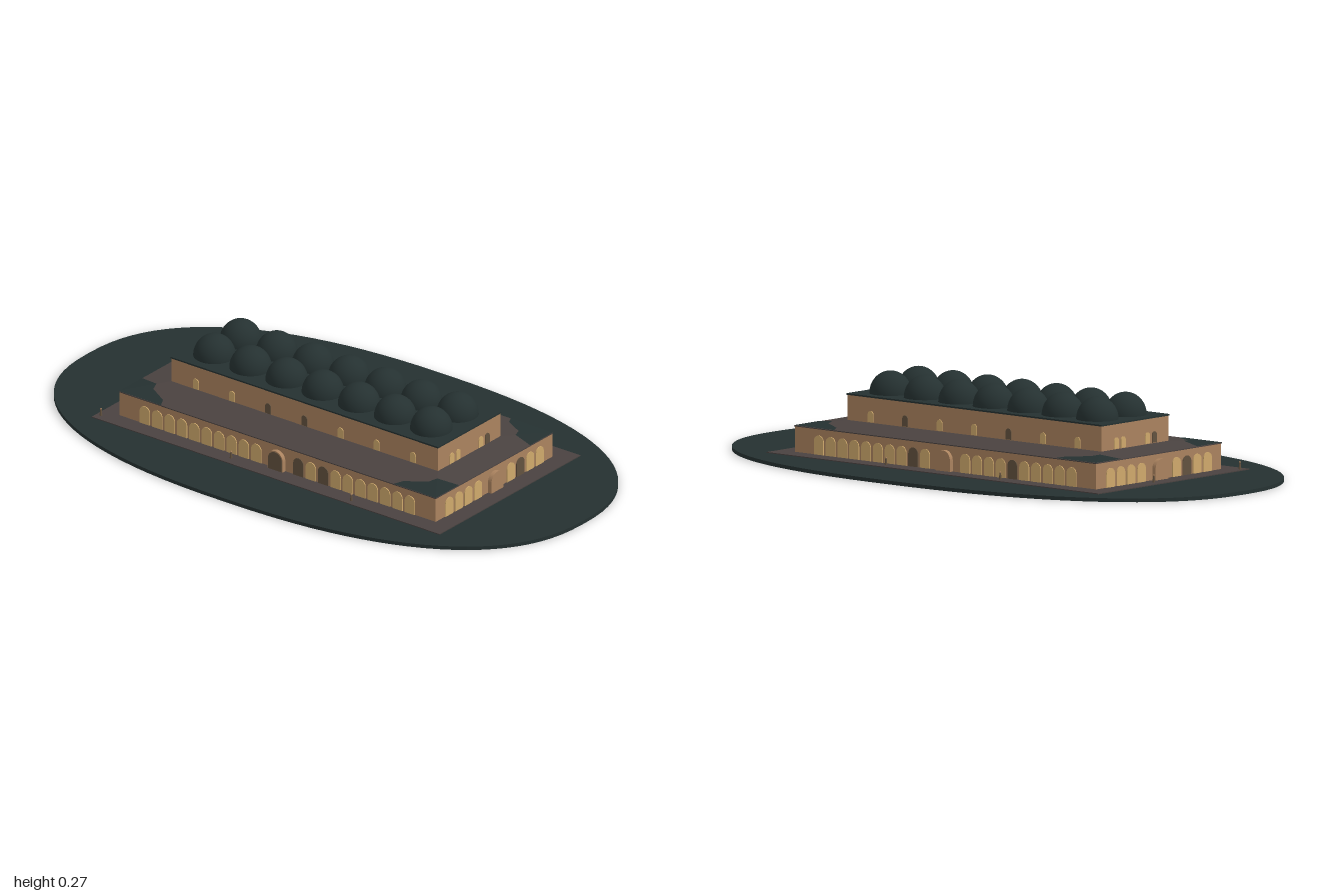
import * as THREE from 'three';

const mat = (name, color) => {
  const m = new THREE.MeshStandardMaterial({ color });
  m.name = name;
  return m;
};

export function createModel() {
  const root = new THREE.Group();
  const dark = mat('dark slate', 0x253131);
  const stone = mat('brown stone', 0x4a4240);
  const wall = mat('sandstone', 0xab835f);
  const glow = mat('lit window', 0xd0aa6c);
  const shade = mat('dark window', 0x63523f);

  const add = (name, geo, material, x = 0, y = 0, z = 0, parent = root) => {
    const m = new THREE.Mesh(geo, material);
    m.name = name;
    m.position.set(x, y, z);
    parent.add(m);
    return m;
  };
  const box = (name, w, y0, y1, d, material) =>
    add(name, new THREE.BoxGeometry(w, y1 - y0, d), material, 0, (y0 + y1) / 2, 0);

  // Round-topped arch plate standing on y = 0, facing +z
  const arch = (w, h, depth) => {
    const r = w / 2, s = new THREE.Shape();
    s.moveTo(-r, 0).lineTo(r, 0).lineTo(r, h - r);
    s.absarc(0, h - r, r, 0, Math.PI, false);
    s.lineTo(-r, 0);
    return new THREE.ExtrudeGeometry(s, { depth, bevelEnabled: false, curveSegments: 10 });
  };

  // Rounded oblong ground slab
  const outline = [];
  for (let i = 0; i < 96; i++) {
    const a = (i / 96) * Math.PI * 2, c = Math.cos(a), s = Math.sin(a), e = 2 / 2.4;
    outline.push(new THREE.Vector2(Math.sign(c) * Math.abs(c) ** e, 0.575 * Math.sign(s) * Math.abs(s) ** e));
  }
  const slab = new THREE.ExtrudeGeometry(new THREE.Shape(outline), { depth: 0.012, bevelEnabled: false });
  slab.rotateX(-Math.PI / 2);
  add('groundSlab', slab, dark);

  // Terrace and the two storeys
  box('terrace', 1.404, 0.011, 0.015, 0.732, stone);
  box('lowerWalls', 1.276, 0.013, 0.098, 0.606, wall);
  box('eaves', 1.28, 0.097, 0.1, 0.61, stone);
  box('upperWalls', 1.076, 0.1, 0.194, 0.326, wall);
  box('upperRoof', 1.08, 0.193, 0.198, 0.33, dark);

  // Sloping skirt roof between the storeys
  const roofY = (x, z) =>
    0.1 + 0.012 * Math.max(0, Math.min(1, (0.64 - Math.abs(x)) / 0.1, (0.305 - Math.abs(z)) / 0.14));
  const roof = new THREE.BoxGeometry(1.28, 0.012, 0.61).toNonIndexed();
  const rp = roof.attributes.position;
  for (let i = 0; i < rp.count; i++) {
    if (rp.getY(i) > 0) rp.setXYZ(i, Math.sign(rp.getX(i)) * 0.54, rp.getY(i), Math.sign(rp.getZ(i)) * 0.165);
  }
  roof.computeVertexNormals();
  add('skirtRoof', roof, stone, 0, 0.106, 0);

  // Dark ragged patches on the roof corners, fanned from each corner
  const edge = [[0.47, 0.305], [0.485, 0.275], [0.52, 0.255], [0.555, 0.235], [0.567, 0.203], [0.6, 0.195], [0.64, 0.185]];
  for (const sx of [-1, 1]) for (const sz of [-1, 1]) {
    const pts = [];
    const put = ([x, z]) => pts.push(sx * x, roofY(x, z) + 0.001, sz * z);
    for (let i = 0; i < edge.length - 1; i++) {
      const pair = sx * sz > 0 ? [edge[i + 1], edge[i]] : [edge[i], edge[i + 1]];
      [[0.64, 0.305], ...pair].forEach(put);
    }
    const g = new THREE.BufferGeometry();
    g.setAttribute('position', new THREE.Float32BufferAttribute(pts, 3));
    g.computeVertexNormals();
    const up = g.attributes.normal.getY(0) > 0;
    if (!up) {
      for (let i = 0; i < pts.length; i += 9) {
        for (let k = 0; k < 3; k++) [pts[i + 3 + k], pts[i + 6 + k]] = [pts[i + 6 + k], pts[i + 3 + k]];
      }
      g.setAttribute('position', new THREE.Float32BufferAttribute(pts, 3));
      g.computeVertexNormals();
    }
    add('roofCornerPatch', g, dark);
  }

  // Two rows of seven domes
  const domeGeo = new THREE.SphereGeometry(0.068, 32, 14, 0, Math.PI * 2, 0, Math.PI / 2);
  for (let i = -3; i <= 3; i++) {
    for (const z of [-0.068, 0.068]) {
      const d = add('dome', domeGeo, dark, i * 0.146, 0.198, z);
      d.scale.y = 1.06;
    }
  }

  // Arcades, upper windows and doorways on all four sides
  const lowArch = arch(0.04, 0.062, 0.003);
  const highArch = arch(0.022, 0.036, 0.003);
  const portal = arch(0.062, 0.068, 0.014);
  const doorPanel = arch(0.056, 0.064, 0.002);
  const sides = [
    { name: 'front', turn: 0, low: 0.303, high: 0.163, n: 10, darkLow: [0.085, 0.185], darkHigh: [2, 3] },
    { name: 'left', turn: 1, low: 0.638, high: 0.538, n: 4, darkLow: [0.135], darkHigh: [3] },
    { name: 'back', turn: 2, low: 0.303, high: 0.163, n: 10, darkLow: [-0.135, 0.285], darkHigh: [1, 4] },
    { name: 'right', turn: 3, low: 0.638, high: 0.538, n: 4, darkLow: [0.135], darkHigh: [3] },
  ];
  for (const s of sides) {
    const g = new THREE.Group();
    g.name = s.name + 'Openings';
    g.rotation.y = s.turn * Math.PI / 2;
    root.add(g);
    for (let i = 0; i < s.n; i++) {
      for (const m of [-1, 1]) {
        const x = m * (0.085 + 0.05 * i);
        const isDark = s.darkLow.some(v => Math.abs(v - x) < 0.01);
        add('arcadeWindow', lowArch, isDark ? shade : glow, x, 0.015, s.low, g);
      }
    }
    const xs = s.n > 4 ? [-3, -2, -1, 0, 1, 2, 3].map(i => i * 0.146) : [-0.092, -0.059, 0.059, 0.092];
    xs.forEach((x, i) => add('upperWindow', highArch, s.darkHigh.includes(i) ? shade : glow, x, 0.114, s.high, g));
    add('doorway', portal, wall, 0, 0.014, s.low, g);
    if (s.name === 'front') add('door', doorPanel, shade, 0, 0.014, s.low + 0.013, g);
  }

  // Small standing figures on the terrace
  const body = new THREE.CylinderGeometry(0.0025, 0.0045, 0.02, 8);
  const head = new THREE.SphereGeometry(0.003, 8, 6);
  const spots = [[-0.26, -0.335], [0.23, -0.328], [-0.165, 0.333], [0.33, 0.345], [-0.67, -0.06], [-0.685, 0.34]];
  for (const [x, z] of spots) {
    const f = new THREE.Group();
    f.name = 'figure';
    f.position.set(x, 0.015, z);
    root.add(f);
    add('figureBody', body, shade, 0, 0.01, 0, f);
    add('figureHead', head, wall, 0, 0.0225, 0, f);
  }
  return root;
}
